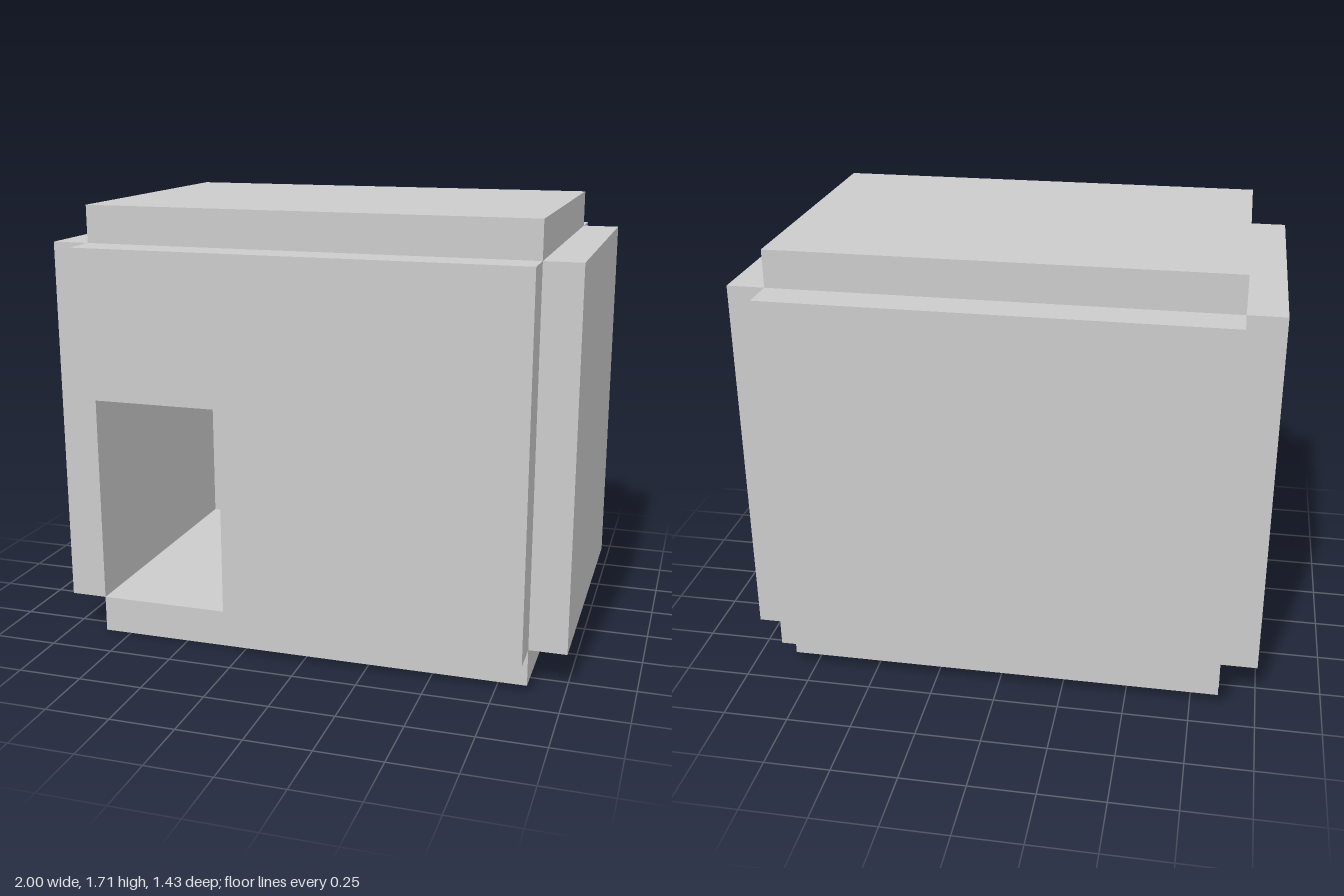
import * as THREE from 'three';

const U = 2 / 14; // wall thickness, the module of the whole room
const W = 12 * U, H = 10 * U, D = 8 * U; // inner width, height, depth
const DOOR_W = 4 * U, DOOR_H = 6 * U;

export function createModel() {
  const room = new THREE.Group();
  room.name = 'room';
  const material = new THREE.MeshStandardMaterial({ color: 0xcccccc, flatShading: true });

  function add(name, geometry, x, y, z) {
    const mesh = new THREE.Mesh(geometry, material);
    mesh.name = name;
    mesh.position.set(x, y, z);
    room.add(mesh);
  }

  // Floor and ceiling slabs
  add('floor', new THREE.BoxGeometry(W, U, D), 0, U / 2, 0);
  add('ceiling', new THREE.BoxGeometry(W, U, D), 0, U + H + U / 2, 0);

  // Side walls
  for (const [name, side] of [['leftWall', 1], ['rightWall', -1]]) {
    add(name, new THREE.BoxGeometry(U, H, D), side * (W + U) / 2, U + H / 2, 0);
  }

  // Back wall
  add('backWall', new THREE.BoxGeometry(W, H, U), 0, U + H / 2, -(D + U) / 2);

  // Front wall, an L-shaped panel leaving a doorway in the lower corner
  const panel = new THREE.Shape([
    [-W / 2 + DOOR_W, 0], [W / 2, 0], [W / 2, H],
    [-W / 2, H], [-W / 2, DOOR_H], [-W / 2 + DOOR_W, DOOR_H],
  ].map(([x, y]) => new THREE.Vector2(x, y)));
  add('frontWall', new THREE.ExtrudeGeometry(panel, { depth: U, bevelEnabled: false }), 0, U, D / 2);

  return room;
}
